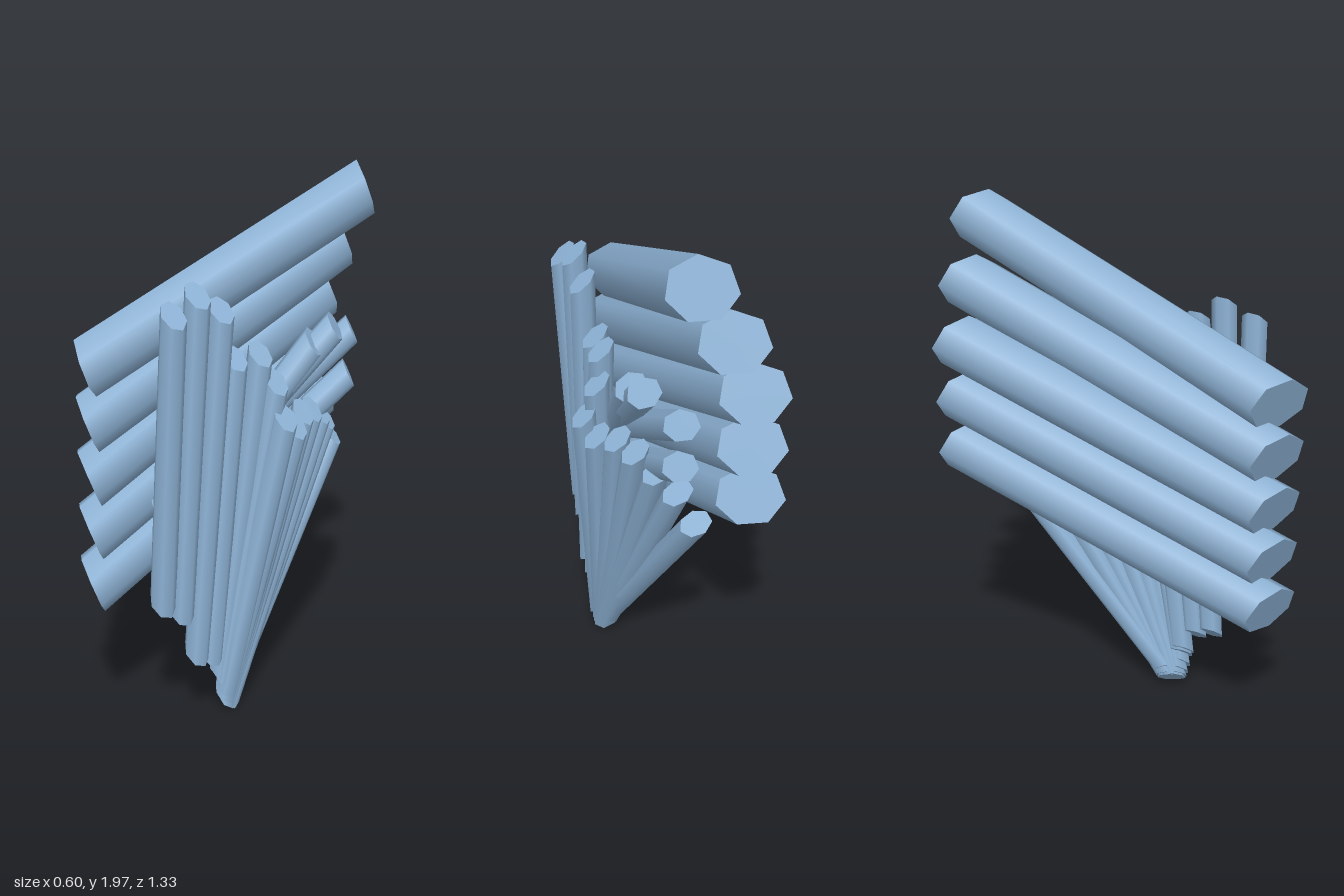
import * as THREE from 'three';

const blue = new THREE.MeshStandardMaterial({ color: 0x8db2d5 });
blue.name = 'paleBlue';

// Seven-sided rod from a to b, with both ends cut on a slant across x
function rod(name, a, b, radius, slant) {
  const start = new THREE.Vector3(...a);
  const end = new THREE.Vector3(...b);
  const dir = end.clone().sub(start);
  const length = dir.length();
  dir.normalize();

  const geo = new THREE.CylinderGeometry(radius, radius, length, 7);
  const pos = geo.attributes.position;
  const nor = geo.attributes.normal;
  const capNormal = new THREE.Vector3(slant, 1, 0).normalize();
  for (let i = 0; i < pos.count; i++) {
    pos.setY(i, pos.getY(i) - slant * pos.getX(i));
    const ny = nor.getY(i);
    if (Math.abs(ny) > 0.5) {
      const s = Math.sign(ny);
      nor.setXYZ(i, s * capNormal.x, s * capNormal.y, 0);
    }
  }

  const u = new THREE.Vector3(1, 0, 0).addScaledVector(dir, -dir.x).normalize();
  const w = new THREE.Vector3().crossVectors(u, dir);
  const m = new THREE.Matrix4().makeBasis(u, dir, w);
  m.setPosition(start.add(end).multiplyScalar(0.5));
  geo.applyMatrix4(m);
  const mesh = new THREE.Mesh(geo, blue);
  mesh.name = name;
  return mesh;
}

export function createModel() {
  const model = new THREE.Group();
  model.name = 'rodBundle';

  // Stack of five thick rods rising to the back: [back x, back y, back z]
  const backs = [
    [-0.20, 1.07, -0.57], [-0.20, 1.27, -0.57], [-0.20, 1.475, -0.575],
    [-0.12, 1.68, -0.585], [-0.005, 1.89, -0.595],
  ];
  const thick = new THREE.Group();
  thick.name = 'thickRods';
  backs.forEach((b, i) => {
    thick.add(rod('thickRod', [-0.03, 0.575 + i * 0.201, 0.6], b, 0.107, 0.55));
  });
  model.add(thick);

  // Fan of thin rods: bottom centre, top centre
  const fan = [
    [[0.16, 0.52, 0.425], [0.215, 1.575, 0.40]],
    [[0.165, 0.47, 0.35], [0.195, 1.625, 0.29]],
    [[0.165, 0.29, 0.285], [0.19, 1.56, 0.19]],
    [[0.16, 0.27, 0.22], [0.165, 1.375, 0.115]],
    [[0.15, 0.19, 0.17], [0.17, 1.375, 0.01]],
    [[0.155, 0.17, 0.16], [0.2, 1.27, -0.04]],
    [[0.16, 0.12, 0.15], [0.25, 1.15, -0.045]],
    [[0.15, 0.09, 0.145], [0.22, 1.10, -0.115]],
    [[0.145, 0.07, 0.14], [0.165, 1.125, -0.19]],
    [[0.14, 0.06, 0.135], [0.12, 1.11, -0.265]],
    [[0.14, 0.055, 0.125], [0.065, 1.07, -0.35]],
    [[0.135, 0.07, 0.12], [0.01, 1.02, -0.42]],
    [[0.13, 0.10, 0.115], [-0.035, 0.93, -0.49]],
  ];
  const fanGroup = new THREE.Group();
  fanGroup.name = 'fanRods';
  fan.forEach(([a, b]) => fanGroup.add(rod('fanRod', a, b, 0.047, 0.85)));
  model.add(fanGroup);

  // Middle rods lying between the stack and the fan
  const middle = [
    [[0.09, 0.92, 0.17], [0.13, 1.37, -0.26]],
    [[0.08, 0.85, 0.30], [0.115, 1.41, -0.37]],
    [[0.07, 0.83, 0.38], [0.03, 1.36, -0.52]],
    [[0.07, 0.68, 0.38], [0.03, 1.19, -0.51]],
  ];
  const midGroup = new THREE.Group();
  midGroup.name = 'middleRods';
  middle.forEach(([a, b]) => midGroup.add(rod('middleRod', a, b, 0.055, 0.7)));
  model.add(midGroup);

  return model;
}
